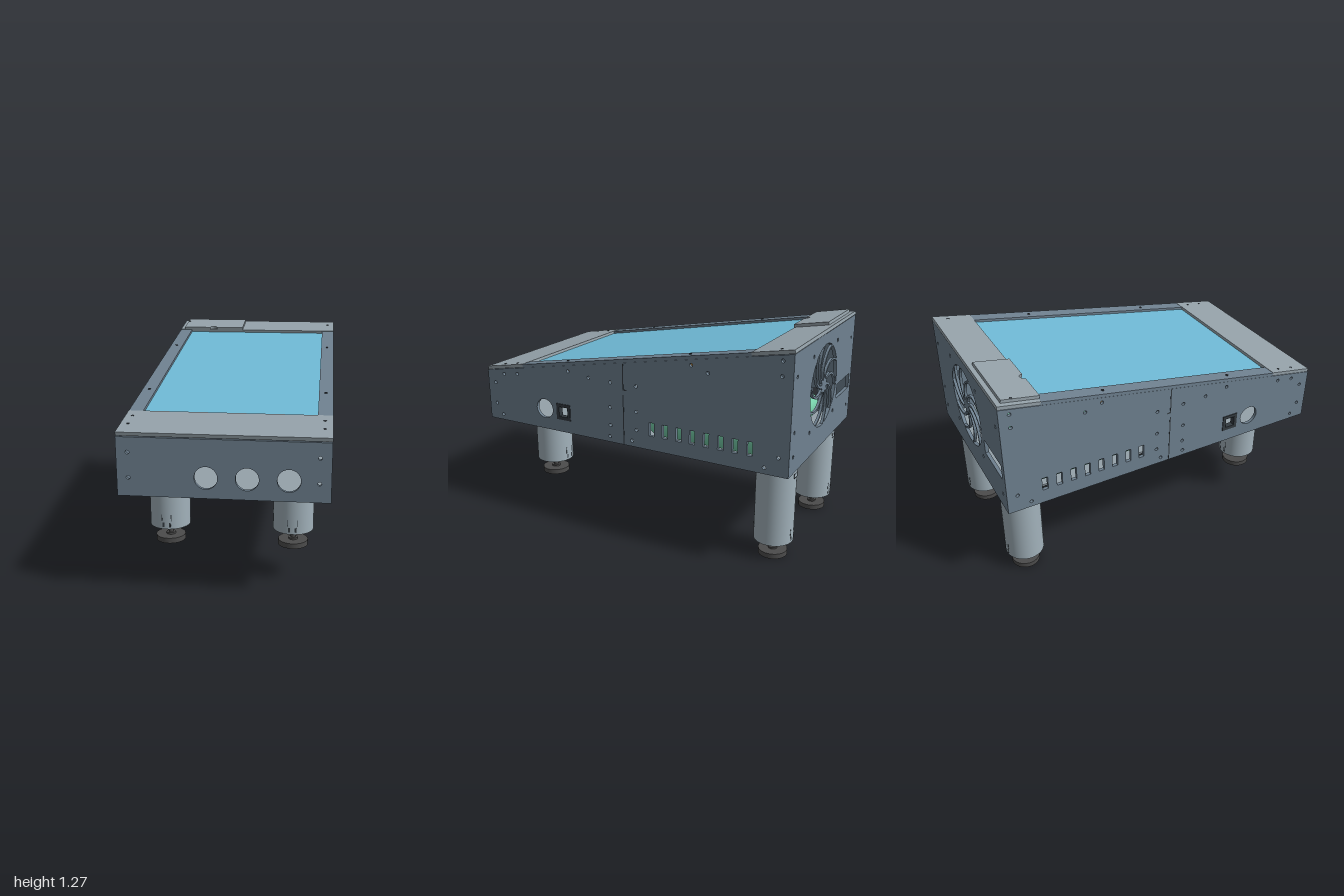
import * as THREE from 'three';
import { RoundedBoxGeometry } from 'three/addons/geometries/RoundedBoxGeometry.js';

const mat = (name, color) => {
  const m = new THREE.MeshStandardMaterial({ color });
  m.name = name;
  return m;
};

export function createModel() {
  const slate = mat('slate shell', 0x6f8190);
  const panel = mat('grey panel', 0x95a2aa);
  const steel = mat('light leg metal', 0xa2b2bb);
  const glass = mat('blue screen', 0x6fbad6);
  const rubber = mat('dark foot', 0x4c4c4c);
  const dark = mat('dark detail', 0x343b41);
  const mint = mat('mint inner unit', 0x78d2ac);
  const amber = mat('amber screen backing', 0xb08446);

  const root = new THREE.Group();
  root.name = 'slopedCabinet';
  const add = (parent, name, geo, material, x = 0, y = 0, z = 0) => {
    const m = new THREE.Mesh(geo, material);
    m.name = name;
    m.position.set(x, y, z);
    parent.add(m);
    return m;
  };
  const box = (parent, name, material, w, h, d, x, y, z) =>
    add(parent, name, new THREE.BoxGeometry(w, h, d), material, x, y, z);

  // Sloped top: height of the lid surface and of the walls below it
  const SLOPE = 0.175, BASE = 0.565, T = 0.02;
  const lidY = (z) => 1.0785 - SLOPE * z;
  const wallY = (z) => lidY(z) - 0.023;

  // Hole helpers
  const polygon = (points) => new THREE.Shape(points.map(([x, y]) => new THREE.Vector2(x, y)));
  const rect = (x, y, w, h) => polygon([
    [x - w / 2, y - h / 2], [x + w / 2, y - h / 2], [x + w / 2, y + h / 2], [x - w / 2, y + h / 2]]);
  const disc = (x, y, r) => new THREE.Shape().absarc(x, y, r, 0, Math.PI * 2);
  const extrude = (shape, depth, curveSegments = 12) =>
    new THREE.ExtrudeGeometry(shape, { depth, bevelEnabled: false, curveSegments });

  // Side walls, drawn in (-z, y)
  const side = polygon([[-1, BASE], [1, BASE], [1, wallY(-1)], [-1, wallY(1)]]);
  side.holes.push(disc(-0.565, 0.695, 0.06), rect(-0.425, 0.693, 0.09, 0.09));
  for (let i = 0; i < 8; i++) side.holes.push(rect(0.185 + i * 0.085, 0.69, 0.033, 0.08));
  const sideScrews = [
    [0.09, 0.78], [0.09, 0.67], [0.095, 0.6], [0.9, 0.6], [0.945, 0.805], [0.945, 0.67],
    [0.87, 0.87], [0.765, 0.885], [0.38, 0.955], [0.235, 0.935], [0.085, 0.93],
    [-0.085, 0.93], [-0.085, 0.78], [-0.085, 0.67], [-0.055, 0.6], [-0.43, 1.1],
    [-0.53, 1.07], [-0.94, 1.19], [-0.94, 1.11], [-0.94, 0.67], [-0.865, 0.6]];
  for (const [z, y] of sideScrews) side.holes.push(disc(-z, y, 0.01));
  const sideGeo = extrude(side, T);
  const socket = rect(0, 0, 0.1, 0.1);
  socket.holes.push(rect(0, 0, 0.06, 0.06));
  for (const s of [-1, 1]) {
    add(root, 'sideWall', sideGeo, slate, s > 0 ? 0.53 : -0.55).rotation.y = Math.PI / 2;
    add(root, 'powerSocket', extrude(socket, 0.034), dark, s * 0.537 - 0.017, 0.693, 0.425)
      .rotation.y = Math.PI / 2;
    // Joint between the front and rear halves
    box(root, 'sideSeam', dark, 0.004, 0.3, 0.006, s * 0.549, 0.718, 0);
    box(root, 'sideSeam', dark, 0.004, 0.15, 0.006, s * 0.549, 0.975, 0);
    box(root, 'sideSeam', dark, 0.004, 0.006, 0.025, s * 0.549, 0.897, -0.011);
  }

  // Front wall with three round openings
  const front = polygon([[-0.53, BASE], [0.53, BASE], [0.53, wallY(1)], [-0.53, wallY(1)]]);
  for (const x of [-0.087, 0.125, 0.337]) front.holes.push(disc(x, 0.675, 0.06));
  // Rear wall with fan opening and connector window
  const FX = 0.02, FY = 0.93, FR = 0.238;
  const rear = polygon([[-0.53, BASE], [0.53, BASE], [0.53, wallY(-1)], [-0.53, wallY(-1)]]);
  rear.holes.push(disc(FX, FY, FR), rect(-0.378, 0.82, 0.26, 0.09));
  for (const s of [-1, 1]) {
    for (const y of [0.665, 0.8]) {
      front.holes.push(disc(s * 0.49, y, 0.01));
      if (s > 0 || y < 0.7) rear.holes.push(disc(s * 0.49, y, 0.01));
    }
    rear.holes.push(disc(s * 0.49, 1.1, 0.01));
    for (const t of [-1, 1]) rear.holes.push(disc(FX + s * 0.215, FY + t * 0.215, 0.011));
  }
  add(root, 'frontWall', extrude(front, T, 24), slate, 0, 0, 0.98);
  add(root, 'rearWall', extrude(rear, T, 24), slate, 0, 0, -1);

  // Fan grille: hub and swept spokes
  const grille = new THREE.Group();
  grille.name = 'fanGrille';
  grille.position.set(FX, FY, -1);
  root.add(grille);
  const hub = add(grille, 'grilleHub', new THREE.CylinderGeometry(0.042, 0.042, 0.016, 24), slate, 0, 0, 0.008);
  hub.rotation.x = Math.PI / 2;
  const spokeEdge = (offset) => Array.from({ length: 9 }, (_, i) => {
    const r = 0.035 + (i / 8) * 0.208;
    const a = 0.85 * Math.pow(i / 8, 1.3) + offset / r;
    return [r * Math.cos(a), r * Math.sin(a)];
  });
  const spokeGeo = extrude(polygon([...spokeEdge(-0.008), ...spokeEdge(0.008).reverse()]), 0.015);
  for (let i = 0; i < 10; i++)
    add(grille, 'grilleSpoke', spokeGeo, slate).rotation.z = (i / 10) * Math.PI * 2;

  // Floor with four long slots, drawn in (x, -z)
  const floor = rect(0, 0, 1.06, 1.96);
  for (const x of [-0.44, 0.44]) for (const z of [-0.115, -0.74]) floor.holes.push(rect(x, -z, 0.025, 0.09));
  add(root, 'floor', extrude(floor, 0.012), panel, 0, BASE + 0.002, 0).rotation.x = -Math.PI / 2;
  box(root, 'floorSeam', dark, 1.06, 0.004, 0.005, 0, BASE + 0.001, 0);

  // Rounded unit inside the rear half
  add(root, 'innerUnit', new RoundedBoxGeometry(0.88, 0.18, 0.8, 6, 0.09), mint, 0, 0.672, -0.46);

  // Sloped lid, built flat and tilted
  const lid = new THREE.Group();
  lid.name = 'lid';
  lid.position.y = lidY(0);
  lid.rotation.x = Math.atan(SLOPE);
  root.add(lid);
  const K = Math.sqrt(1 + SLOPE * SLOPE);
  const slab = (name, material, x0, x1, z0, z1, top, h) =>
    box(lid, name, material, x1 - x0, h, (z1 - z0) * K, (x0 + x1) / 2, top - h / 2, ((z0 + z1) / 2) * K);
  slab('frontPanel', panel, -0.55, 0.55, 0.72, 0.998, 0, T);
  slab('rearPanel', panel, -0.55, 0.55, -0.998, -0.77, 0, T);
  slab('sideStrip', slate, -0.55, -0.47, -0.77, 0.72, -0.002, T);
  slab('sideStrip', slate, 0.47, 0.55, -0.77, 0.72, -0.002, T);
  slab('screen', glass, -0.47, 0.47, -0.77, 0.72, -0.017, 0.008);
  slab('screenBacking', amber, -0.48, 0.48, -0.76, 0.71, -0.026, 0.08);

  // Raised access cover with a finger notch, drawn in (x, -z)
  const cover = new THREE.Shape();
  cover.moveTo(-0.52, 0.765 * K);
  cover.lineTo(-0.335, 0.765 * K);
  cover.absarc(-0.31, 0.765 * K, 0.025, Math.PI, 0, true);
  cover.lineTo(-0.1, 0.765 * K);
  cover.lineTo(-0.1, 0.97 * K);
  cover.lineTo(-0.52, 0.97 * K);
  add(lid, 'accessCover', extrude(cover, 0.018), panel).rotation.x = -Math.PI / 2;

  // Lid screws
  const screwGeo = new THREE.CylinderGeometry(0.008, 0.008, 0.004, 12);
  for (const x of [-0.51, 0.508]) for (const z of [-0.915, -0.405, 0.405, 0.79, 0.89])
    add(lid, 'lidScrew', screwGeo, dark, x, x < 0 && z < -0.9 ? 0.018 : 0, z * K);

  // Legs: sleeve, neck, threaded rod and round foot
  const makeLeg = (name, x, z, footY) => {
    const leg = new THREE.Group();
    leg.name = name;
    leg.position.set(x, 0, z);
    root.add(leg);
    const tube = (part, r, y0, y1, material, r2 = r) =>
      add(leg, part, new THREE.CylinderGeometry(r2, r, y1 - y0, 40), material, 0, (y0 + y1) / 2, 0);
    const bottom = footY + 0.097;
    tube('sleeve', 0.113, bottom, 0.53, steel);
    tube('neck', 0.106, 0.53, BASE + 0.002, steel);
    tube('rod', 0.014, footY + 0.03, bottom + 0.01, rubber);
    tube('footCollar', 0.026, footY + 0.028, footY + 0.04, rubber);
    tube('foot', 0.083, footY, footY + 0.03, rubber);
    // Slots and ticks on the sleeve
    for (let q = 0; q < 2; q++) {
      const face = new THREE.Group();
      face.name = 'sleeveSlots';
      face.rotation.y = q * Math.PI;
      leg.add(face);
      box(face, 'slot', dark, 0.046, 0.004, 0.006, 0, 0.516, 0.11);
      box(face, 'slot', dark, 0.046, 0.004, 0.006, 0, 0.49, 0.11);
      box(face, 'slot', dark, 0.046, 0.026, 0.006, 0, bottom + 0.025, 0.109);
      for (const s of [-1, 1]) {
        box(face, 'tick', dark, 0.004, 0.026, 0.006, s * 0.022, 0.503, 0.109);
        box(face, 'tick', dark, 0.004, 0.038, 0.006, s * 0.026, bottom + 0.065, 0.108);
      }
    }
  };
  for (const s of [-1, 1]) {
    makeLeg('frontLeg', s * 0.348, 0.66, 0.195);
    makeLeg('rearLeg', s * 0.348, -0.863, 0);
  }
  return root;
}
